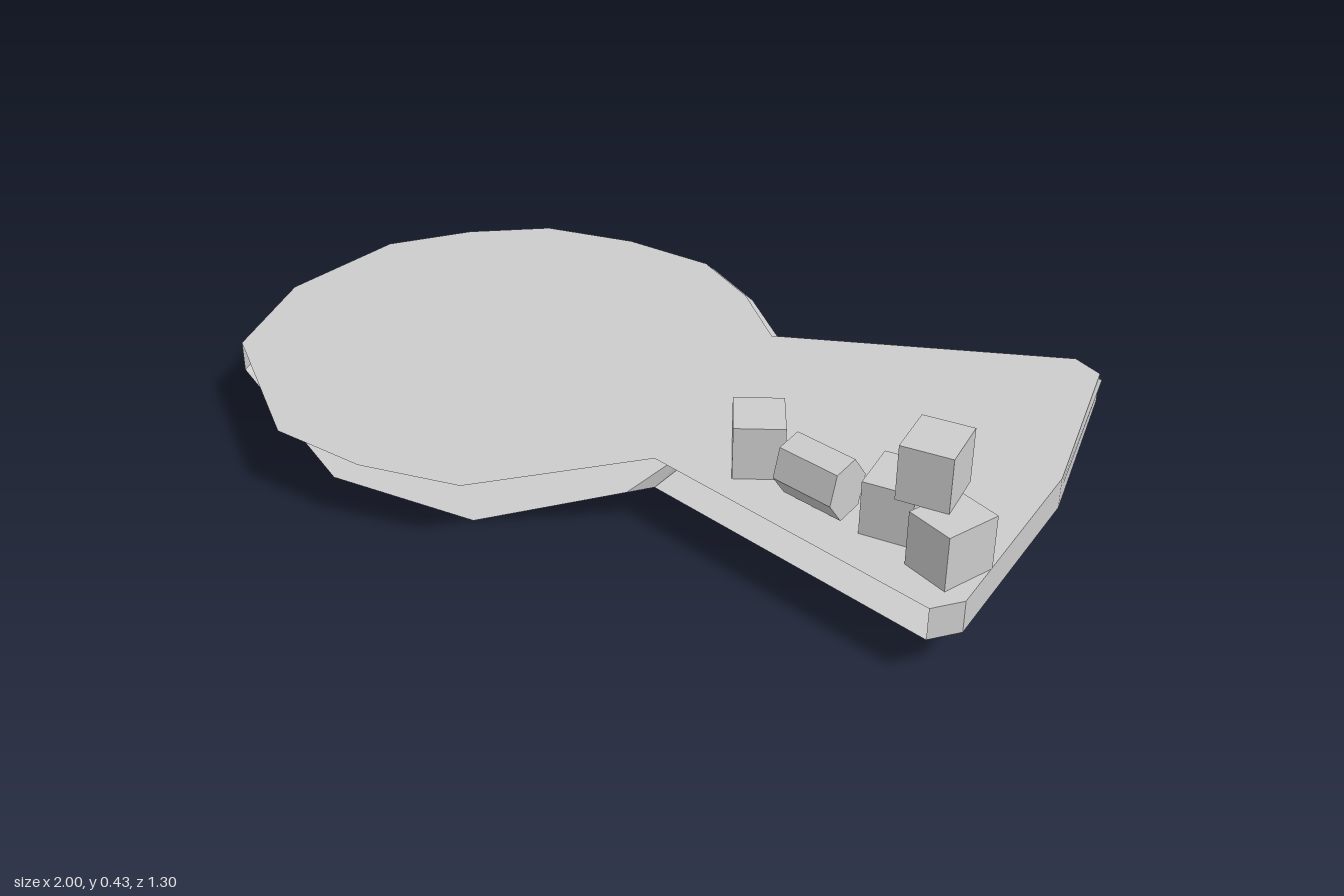
import * as THREE from 'three';

const material = new THREE.MeshStandardMaterial({
  color: 0xcccccc, flatShading: true, side: THREE.DoubleSide,
});

function addMesh(group, name, geometry) {
  const mesh = new THREE.Mesh(geometry, material);
  mesh.name = name;
  group.add(mesh);
  return mesh;
}

// Flat polygon from [x, z] points at a given height, facing up or down
function plate(points, y, up) {
  const s = up ? -1 : 1;
  const shape = new THREE.Shape(points.map(([x, z]) => new THREE.Vector2(x, s * z)));
  return new THREE.ShapeGeometry(shape).rotateX(s * Math.PI / 2).translate(0, y, 0);
}

// Faceted surface between successive rows of [x, y, z] points, top row first
function skin(rows) {
  const pos = [];
  for (let r = 0; r + 1 < rows.length; r++) {
    const u = rows[r], l = rows[r + 1];
    for (let i = 0; i + 1 < u.length; i++) {
      pos.push(...u[i], ...u[i + 1], ...l[i], ...u[i + 1], ...l[i + 1], ...l[i]);
    }
  }
  const g = new THREE.BufferGeometry();
  g.setAttribute('position', new THREE.Float32BufferAttribute(pos, 3));
  g.computeVertexNormals();
  return g;
}

export function createModel() {
  const model = new THREE.Group();
  const TOP = 0.175, LOW = 0.1;

  // Rim from front left, round the back, to front right: [x, z, ridge x, ridge z]
  const round = [
    [-0.93, 0.33], [-1, 0.03],
    [-0.93, -0.295, -0.93, -0.34], [-0.78, -0.46, -0.78, -0.505],
    [-0.6, -0.58, -0.6, -0.625], [-0.36, -0.61, -0.36, -0.652],
    [-0.12, -0.58, -0.12, -0.625], [0.05, -0.46, 0.05, -0.505],
    [0.195, -0.295, 0.195, -0.345],
  ];
  const fan = [
    [0.885, -0.525, 0.86, -0.567], [0.955, -0.48, 0.955, -0.515],
    [1, 0], [0.955, 0.505], [0.9, 0.56],
  ];
  const rim = [...round, ...fan];

  // Deck top: round end joined to a fan-shaped end
  const front = [[0.195, 0.33], [-0.12, 0.615], [-0.36, 0.648], [-0.6, 0.615]];
  addMesh(model, 'deck', plate([...rim, ...front].map(([x, z]) => [x, z]), TOP, true));

  // Side wall with a pointed ridge along the back; the front is open
  const ring = (y) => rim.map(([x, z]) => [x, y, z]);
  const ridge = rim.map(([x, z, rx = x, rz = z]) => [rx, 0.141, rz]);
  addMesh(model, 'rimWall', skin([ring(TOP), ring(0.16), ridge, ring(0.122), ring(LOW)]));

  // Underside of the fan
  const neck = [[0.195, 0.33], [0.24, 0.02], [0.195, -0.295]];
  addMesh(model, 'fanUnderside', plate([...neck, ...fan.map(([x, z]) => [x, z])], LOW, false));

  // Sloping hull below the round end
  const upper = [...round, [0.24, 0.02], [0.195, 0.33]];
  const lower = [
    [-0.55, 0.5], [-0.79, 0.24], [-0.82, 0], [-0.76, -0.24], [-0.66, -0.36], [-0.53, -0.44],
    [-0.36, -0.46], [-0.19, -0.44], [-0.06, -0.36], [0.08, -0.24], [0.13, 0], [0.08, 0.24],
    [-0.17, 0.5],
  ];
  const hullTop = [upper[0], ...upper, upper[upper.length - 1]];
  addMesh(model, 'hullSide', skin([
    hullTop.map(([x, z]) => [x, LOW, z]),
    lower.map(([x, z]) => [x, 0, z]),
  ]));
  addMesh(model, 'hullBottom', plate(lower, 0, false));

  // Crates on the fan: x, base height, z, turn
  const crates = [
    [0.4, TOP, 0.243, 0.44], [0.745, TOP, 0.325, 0],
    [0.888, TOP, 0.413, -0.47], [0.825, 0.3, 0.355, 0],
  ];
  for (const [x, y, z, turn] of crates) {
    const crate = addMesh(model, 'crate', new THREE.BoxGeometry(0.112, 0.125, 0.13));
    crate.position.set(x, y + 0.0625, z);
    crate.rotation.y = turn;
  }

  // Six-sided barrel lying on its side
  const barrelShape = new THREE.CylinderGeometry(0.07, 0.07, 0.152, 6)
    .rotateZ(Math.PI / 2).rotateX(0.2).scale(1, 1, 0.82);
  const barrel = addMesh(model, 'barrel', barrelShape);
  barrel.position.set(0.577, 0.248, 0.335);
  barrel.rotation.y = -0.3;

  return model;
}
